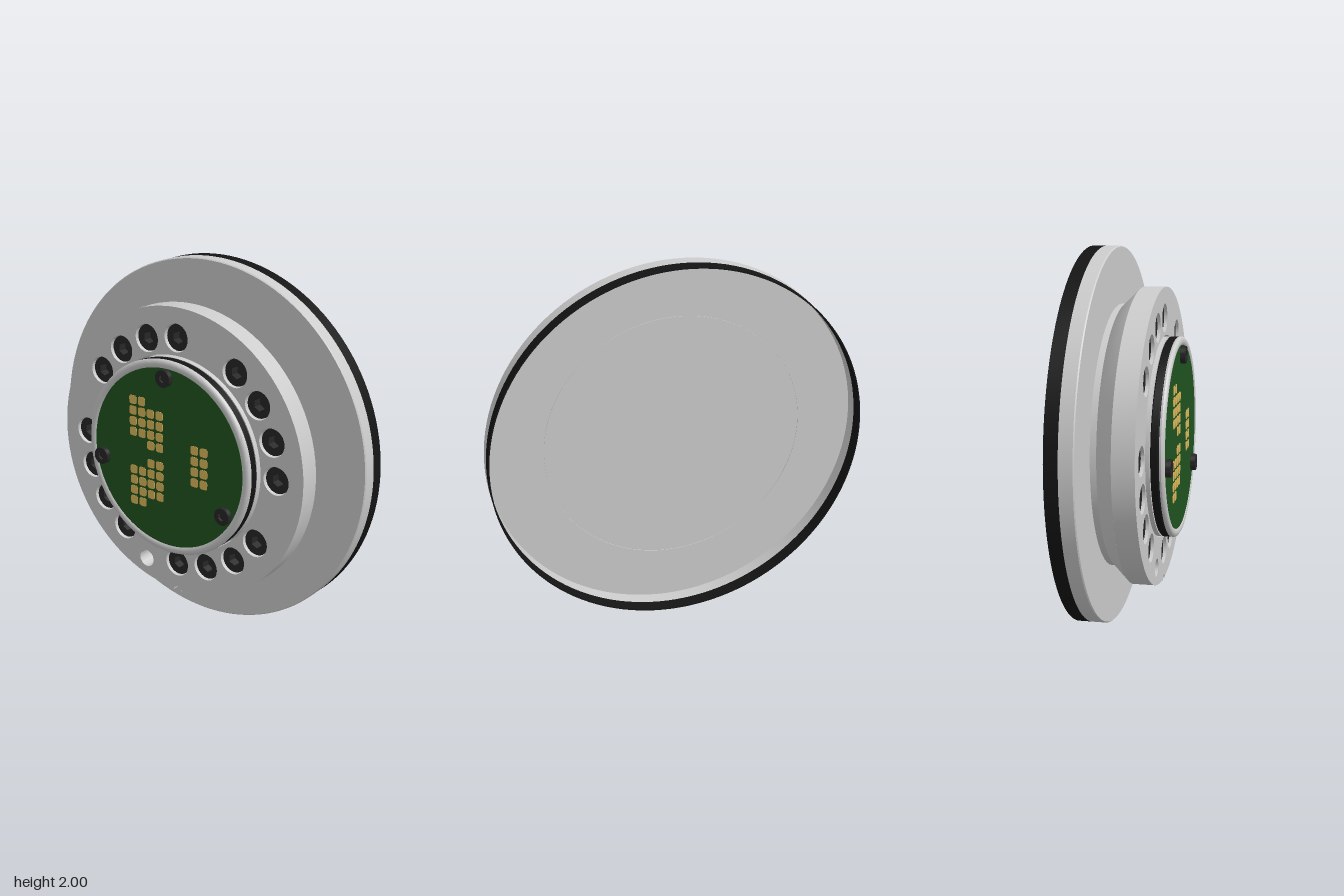
import * as THREE from 'three';
import { toCreasedNormals } from 'three/addons/utils/BufferGeometryUtils.js';

const material = (color) => new THREE.MeshStandardMaterial({ color });
const GREY = material(0xcccccc);
const BLACK = material(0x141414);
const SCREW = material(0x262626);
const GREEN = material(0x1f521f);
const GOLD = material(0xdcb85a);

function add(parent, name, geometry, mat, x = 0, y = 0, z = 0) {
  const mesh = new THREE.Mesh(toCreasedNormals(geometry, 0.6), mat);
  mesh.name = name;
  mesh.position.set(x, y, z);
  parent.add(mesh);
  return mesh;
}

// Profile of [radius, z] points turned around the z axis
function turned(profile) {
  const points = profile.map(([r, z]) => new THREE.Vector2(r, z));
  return new THREE.LatheGeometry(points, 128).rotateX(Math.PI / 2);
}

function extruded(shape, depth, curveSegments = 24) {
  return new THREE.ExtrudeGeometry(shape, { depth, curveSegments, bevelEnabled: false });
}

const circle = (Type, x, y, r) => new Type().absarc(x, y, r, 0, Math.PI * 2, false);

// Socket head screw: head with a hexagonal recess, seated at z and facing +z
function addScrew(parent, name, r, height, x, y, z) {
  const screw = new THREE.Group();
  screw.name = name;
  screw.position.set(x, y, z);
  const head = circle(THREE.Shape, 0, 0, r);
  const hex = [];
  for (let i = 0; i < 6; i++) {
    const a = (i * Math.PI) / 3 + Math.PI / 6;
    hex.push(new THREE.Vector2(Math.cos(a) * r * 0.48, Math.sin(a) * r * 0.48));
  }
  head.holes.push(new THREE.Path(hex));
  add(screw, 'screwHead', extruded(head, height, 16), SCREW);
  add(screw, 'socketFloor', new THREE.CircleGeometry(r * 0.6, 6), SCREW, 0, 0, height * 0.5);
  parent.add(screw);
}

export function createModel() {
  const model = new THREE.Group();
  model.name = 'toolFlange';
  const body = new THREE.Group();
  body.name = 'body';
  body.position.y = 1;
  model.add(body);

  // Thin dished flange, open at the back, with a fine seam around the hub
  add(body, 'flange', turned([
    [0, -0.109], [0.693, -0.109], [0.693, -0.106], [0.698, -0.106], [0.698, -0.109],
    [0.993, -0.109], [0.993, -0.18], [1, -0.18], [1, -0.11], [0.995, -0.104], [0, -0.104],
  ]), GREY);
  add(body, 'rimSeal', turned([
    [0.993, -0.18], [0.993, -0.25], [1, -0.25], [1, -0.18],
  ]), BLACK);

  // Neck widening to the hub
  add(body, 'neck', turned([
    [0.698, -0.104], [0.698, -0.072], [0.703, -0.07], [0.79, 0.02], [0, 0.02],
  ]), GREY);

  // Hub plate with counterbores, pin hole and an index notch at the bottom
  const notch = 0.025;
  const plate = new THREE.Shape();
  plate.absarc(0, 0, 0.79, -Math.PI / 2 + notch / 0.79, 1.5 * Math.PI - notch / 0.79, false);
  plate.absarc(0, -0.797, notch, Math.PI, 0, true);
  plate.holes.push(circle(THREE.Path, 0, 0, 0.537));
  plate.holes.push(circle(THREE.Path, -0.215, -0.663, 0.048));
  const screwCentres = [];
  for (let i = 0; i < 20; i++) {
    if (i % 5 === 4) continue;
    const a = (i * Math.PI) / 10;
    screwCentres.push([0.63 * Math.cos(a), 0.63 * Math.sin(a)]);
  }
  for (const [x, y] of screwCentres) plate.holes.push(circle(THREE.Path, x, y, 0.075));
  add(body, 'hubPlate', extruded(plate, 0.115, 48), GREY, 0, 0, 0.02);
  for (const [x, y] of screwCentres) addScrew(body, 'mountingScrew', 0.071, 0.098, x, y, 0.02);

  // Central boss with a seal groove and a rounded lip around the board
  add(body, 'boss', turned([
    [0.53, 0.02], [0.53, 0.155], [0.5, 0.155], [0.5, 0.202], [0.53, 0.202], [0.532, 0.212],
    [0.528, 0.221], [0.52, 0.226], [0.508, 0.228], [0.495, 0.226], [0.488, 0.221], [0, 0.215],
  ]), GREY);
  add(body, 'sealRing', turned([
    [0.5, 0.158], [0.525, 0.158], [0.531, 0.163], [0.531, 0.194], [0.525, 0.199], [0.5, 0.199],
  ]), BLACK);

  // Circuit board and its screws
  add(body, 'circuitBoard', new THREE.CylinderGeometry(0.488, 0.488, 0.008, 96).rotateX(Math.PI / 2),
    GREEN, 0, 0, 0.219);
  for (const [x, y] of [[0, 0.44], [-0.433, -0.073], [0.38, -0.22]]) {
    addScrew(body, 'boardScrew', 0.046, 0.028, x, y, 0.222);
  }

  // Contact pads: columns of four, given by x and the centre of the column
  const h = 0.024, c = 0.013;
  const pad = new THREE.Shape();
  pad.absarc(h - c, h - c, c, 0, Math.PI / 2);
  pad.absarc(c - h, h - c, c, Math.PI / 2, Math.PI);
  pad.absarc(c - h, c - h, c, Math.PI, Math.PI * 1.5);
  pad.absarc(h - c, c - h, c, Math.PI * 1.5, Math.PI * 2);
  const columns = [[0.187, 0], [0.246, 0]];
  for (const side of [1, -1]) {
    columns.push([-0.22, 0.195 * side], [-0.161, 0.195 * side]);
    columns.push([-0.102, 0.138 * side], [-0.043, 0.138 * side]);
  }
  for (const [x, y] of columns) {
    for (let i = 0; i < 4; i++) {
      add(body, 'contactPad', extruded(pad, 0.003, 4), GOLD, x, y + (i - 1.5) * 0.0585, 0.222);
    }
  }
  return model;
}
